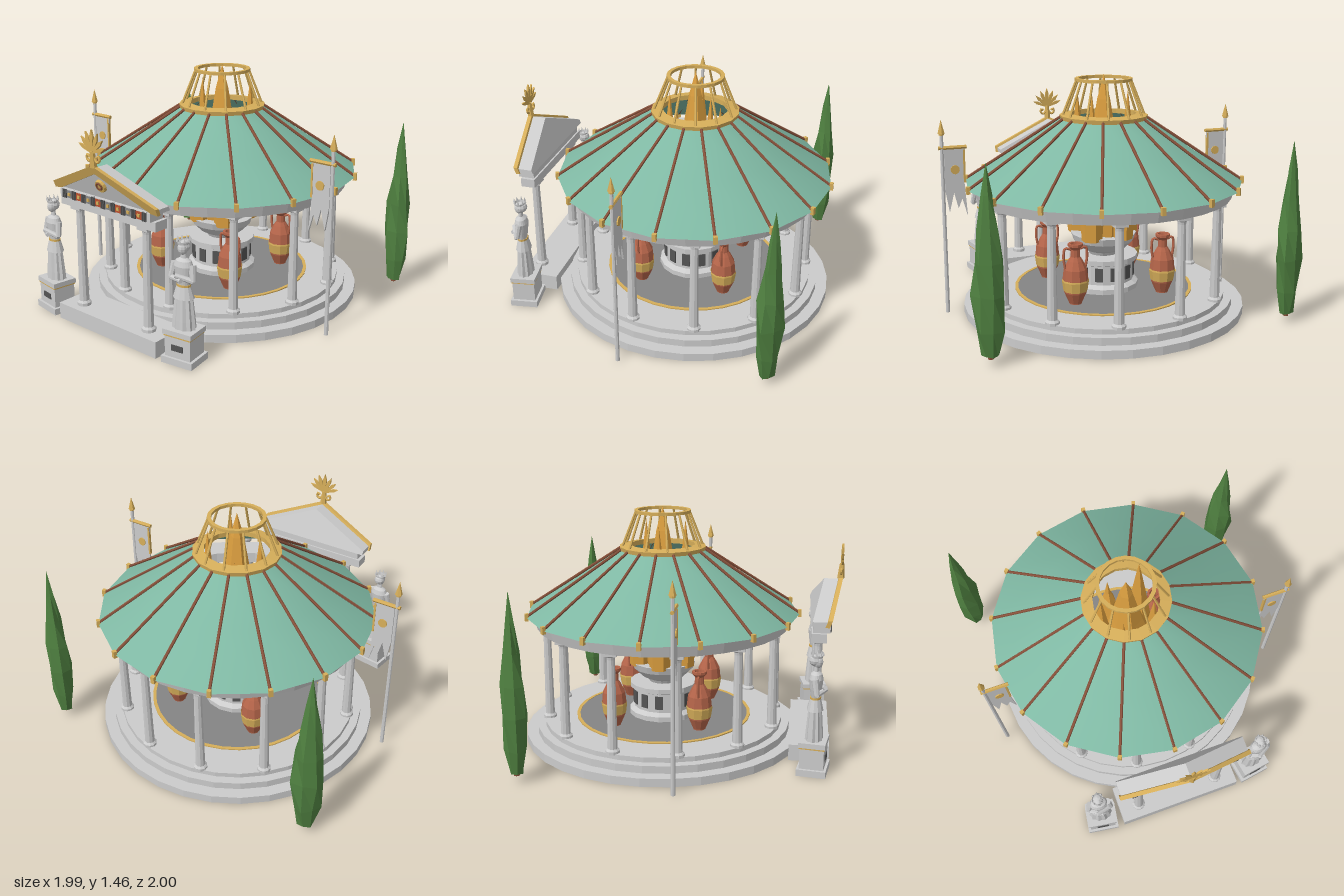
import * as THREE from 'three';

const mat = (color, flatShading = true, side = THREE.DoubleSide) =>
  new THREE.MeshStandardMaterial({ color, flatShading, side });
const STONE = mat(0xcccccc), DARK = mat(0x555555), FLOOR = mat(0x858585), GOLD = mat(0xd6ae5a);
const ROOF = mat(0x7fb8a3, false), COPPER = mat(0x85503a), CLAY = mat(0xb5654a), LEAF = mat(0x4f8040);
const FLAME = mat(0xdda040), RED = mat(0xb8502f);
const CZ = -0.12; // rotunda centre

function add(parent, name, geo, m, x = 0, y = 0, z = 0) {
  const mesh = new THREE.Mesh(geo, m);
  mesh.name = name;
  mesh.position.set(x, y, z);
  parent.add(mesh);
  return mesh;
}
function group(parent, name, x = 0, y = 0, z = 0) {
  const g = new THREE.Group();
  g.name = name;
  g.position.set(x, y, z);
  parent.add(g);
  return g;
}
const box = (w, h, d) => new THREE.BoxGeometry(w, h, d);
const lathe = (pts, n) => new THREE.LatheGeometry(pts.map(p => new THREE.Vector2(p[0], p[1])), n);
const V = (x, y, z) => new THREE.Vector3(x, y, z);
// straight bar between two points
function bar(parent, name, a, b, r0, r1, m, sides = 6) {
  const d = b.clone().sub(a);
  const mesh = add(parent, name, new THREE.CylinderGeometry(r1, r0, d.length(), sides), m);
  mesh.position.copy(a).addScaledVector(d, 0.5);
  mesh.quaternion.setFromUnitVectors(V(0, 1, 0), d.normalize());
  return mesh;
}
function tube(parent, name, pts, r, m) {
  const curve = new THREE.CatmullRomCurve3(pts);
  return add(parent, name, new THREE.TubeGeometry(curve, 12, r, 6), m);
}
const shapeOf = pts => new THREE.Shape(pts.map(p => new THREE.Vector2(p[0], p[1])));
const extrude = (pts, depth) => new THREE.ExtrudeGeometry(shapeOf(pts), { depth, bevelEnabled: false });

function column(parent, x, z, y0, y1) {
  const c = group(parent, 'column', x, 0, z);
  add(c, 'columnShaft', lathe([[0, y0], [0.042, y0], [0.042, y0 + 0.018], [0.03, y0 + 0.03], [0.024, y1 - 0.045],
    [0.026, y1 - 0.03], [0.037, y1 - 0.018], [0, y1 - 0.018]], 10), STONE);
  add(c, 'columnCapital', box(0.078, 0.02, 0.078), STONE, 0, y1 - 0.01, 0);
}

function vase(parent, x, z) {
  const v = group(parent, 'vase', x, 0.12, z);
  add(v, 'vaseBody', lathe([[0, 0], [0.038, 0], [0.04, 0.015], [0.068, 0.08], [0.077, 0.16], [0.07, 0.225], [0.045, 0.275],
    [0.029, 0.3], [0.028, 0.345], [0.045, 0.365], [0.045, 0.38], [0.03, 0.38], [0.022, 0.33]], 10), CLAY);
  add(v, 'vaseBand', lathe([[0.072, 0.09], [0.081, 0.15], [0.079, 0.16]], 10), GOLD);
  for (const s of [-1, 1])
    tube(v, 'vaseHandle', [V(s * 0.03, 0.345, 0), V(s * 0.064, 0.355, 0), V(s * 0.074, 0.3, 0), V(s * 0.064, 0.23, 0)], 0.008, CLAY);
}

function statue(parent, s) {
  const g = group(parent, 'statue', s * 0.53, 0, 0.84);
  g.rotation.y = s * 0.15;
  add(g, 'pedestalFoot', box(0.2, 0.04, 0.17), STONE, 0, 0.02, 0);
  add(g, 'pedestalBlock', box(0.165, 0.13, 0.14), STONE, 0, 0.105, 0);
  add(g, 'pedestalTrim', box(0.172, 0.01, 0.147), GOLD, 0, 0.166, 0);
  add(g, 'pedestalCap', box(0.185, 0.03, 0.155), STONE, 0, 0.186, 0);
  add(g, 'plaque', box(0.075, 0.035, 0.008), DARK, 0, 0.1, 0.071);
  // robe with pleats made by pushing alternate vertices
  const robe = lathe([[0, 0.2], [0.07, 0.2], [0.066, 0.25], [0.052, 0.38], [0.038, 0.455], [0.05, 0.51], [0.058, 0.565], [0.046, 0.595], [0.019, 0.61], [0.017, 0.64]], 20);
  const p = robe.attributes.position;
  for (let i = 0; i < p.count; i++) {
    const a = Math.atan2(p.getZ(i), p.getX(i));
    const k = p.getY(i) < 0.4 ? 1 + 0.07 * Math.cos(a * 10) : 1;
    p.setXYZ(i, p.getX(i) * k, p.getY(i), p.getZ(i) * k * 0.7);
  }
  robe.computeVertexNormals();
  add(g, 'robe', robe, STONE);
  add(g, 'peplum', new THREE.CylinderGeometry(0.042, 0.064, 0.07, 12), STONE, 0, 0.415, 0).scale.z = 0.75;
  add(g, 'belt', new THREE.CylinderGeometry(0.043, 0.043, 0.012, 12), GOLD, 0, 0.453, 0).scale.z = 0.75;
  add(g, 'head', new THREE.SphereGeometry(0.031, 10, 8), STONE, 0, 0.665, 0.005).scale.set(0.9, 1.2, 1);
  add(g, 'hair', new THREE.SphereGeometry(0.034, 10, 6), STONE, 0, 0.673, -0.01);
  for (const t of [-1, 1]) {
    bar(g, 'upperArm', V(t * 0.056, 0.575, 0), V(t * 0.07, 0.49, 0.015), 0.021, 0.017, STONE, 8);
    bar(g, 'forearm', V(t * 0.07, 0.49, 0.015), V(-t * 0.02, 0.51 + t * 0.012, 0.057), 0.017, 0.013, STONE, 8);
  }
  add(g, 'crownBand', new THREE.CylinderGeometry(0.035, 0.032, 0.016, 10, 1, true), STONE, 0, 0.697, 0);
  for (let i = 0; i < 8; i++) {
    const a = i * Math.PI / 4;
    add(g, 'crownPoint', new THREE.ConeGeometry(0.008, 0.026, 4), STONE, Math.sin(a) * 0.034, 0.717, Math.cos(a) * 0.034);
  }
}

function banner(parent, s) {
  const g = group(parent, 'banner', s * 0.96, 0, 0.08);
  bar(g, 'pole', V(0, 0, 0), V(0, 1.13, 0), 0.013, 0.011, STONE, 8);
  add(g, 'spearSocket', new THREE.CylinderGeometry(0.016, 0.016, 0.015, 8), GOLD, 0, 1.12, 0);
  add(g, 'spearHead', new THREE.ConeGeometry(0.022, 0.085, 6), GOLD, 0, 1.165, 0);
  bar(g, 'crossBar', V(s * 0.02, 1.035, 0), V(-s * 0.15, 1.035, 0), 0.012, 0.012, GOLD);
  const cloth = [[-0.012, 1.03], [-0.14, 1.03], [-0.13, 0.82], [-0.145, 0.61], [-0.115, 0.72], [-0.09, 0.66], [-0.065, 0.76], [-0.035, 0.64], [-0.012, 0.78]];
  add(g, 'bannerCloth', extrude(cloth.map(q => [s * q[0], q[1]]), 0.012), STONE, 0, 0, -0.006);
  add(g, 'bannerTrim', box(0.012, 0.2, 0.018), GOLD, -s * 0.132, 0.92, 0);
  const disc = add(g, 'bannerDisc', new THREE.CylinderGeometry(0.028, 0.028, 0.026, 10), GOLD, -s * 0.075, 0.9, 0);
  disc.rotation.x = Math.PI / 2;
}

function cypress(parent, x, z, turn) {
  const g = group(parent, 'cypress', x, 0, z);
  g.rotation.y = turn;
  add(g, 'trunk', new THREE.CylinderGeometry(0.014, 0.018, 0.08, 6), COPPER, 0, 0.08, 0);
  const geo = lathe([[0, 0.05], [0.048, 0.06], [0.075, 0.2], [0.09, 0.4], [0.08, 0.58], [0.055, 0.76], [0.03, 0.94], [0, 1.11]], 7);
  const p = geo.attributes.position;
  for (let i = 0; i < p.count; i++) {
    const a = Math.atan2(p.getZ(i), p.getX(i)), y = p.getY(i);
    const k = 1 + 0.14 * Math.sin(a * 3 + y * 21);
    p.setXYZ(i, p.getX(i) * k, y, p.getZ(i) * k * 0.8);
  }
  add(g, 'foliage', geo, LEAF);
}

function portico(parent) {
  const g = group(parent, 'portico');
  add(g, 'porticoPlatform', box(0.8, 0.1, 0.24), STONE, 0, 0.05, 0.815);
  for (const s of [-1, 1]) column(g, s * 0.27, 0.85, 0.1, 0.73);
  add(g, 'architrave', box(0.76, 0.055, 0.09), STONE, 0, 0.757, 0.85);
  add(g, 'frieze', box(0.72, 0.05, 0.1), STONE, 0, 0.81, 0.865);
  for (let i = 0; i < 9; i++) {
    const x = (i - 4) * 0.08;
    for (const d of [-0.012, 0, 0.012]) add(g, 'triglyph', box(0.008, 0.05, 0.02), DARK, x + d, 0.81, 0.912);
    if (i < 8) {
      add(g, 'metope', box(0.045, 0.044, 0.012), i % 2 ? RED : FLOOR, x + 0.04, 0.81, 0.912);
      add(g, 'metopeStud', box(0.018, 0.018, 0.012), GOLD, x + 0.04, 0.81, 0.918);
    }
  }
  // pediment leans forward as it rises
  const lean = geo => geo.applyMatrix4(new THREE.Matrix4().set(1, 0, 0, 0, 0, 1, 0, 0, 0, 0.38, 1, 0, 0, 0, 0, 1));
  const ped = group(g, 'pediment', 0, 0.835, 0.8);
  add(ped, 'gable', lean(extrude([[-0.4, 0], [0.4, 0], [0.4, 0.025], [0, 0.2], [-0.4, 0.025]], 0.09)), STONE);
  add(ped, 'rakingCornice', lean(extrude([[-0.41, -0.005], [-0.36, 0], [0, 0.165], [0.36, 0], [0.41, -0.005], [0.41, 0.035], [0, 0.215], [-0.41, 0.035]], 0.025)), GOLD, 0, 0, 0.085);
  const ros = add(ped, 'rosette', new THREE.CylinderGeometry(0.036, 0.042, 0.02, 12), GOLD, 0, 0.085, 0.128);
  ros.rotation.x = Math.PI / 2 + 0.36;
  const hub = add(ped, 'rosetteHub', new THREE.TorusGeometry(0.02, 0.006, 6, 12), COPPER, 0, 0.085, 0.14);
  hub.rotation.x = 0.36;
  // palmette on the apex
  const top = group(g, 'palmette', 0, 1.04, 0.975);
  bar(top, 'palmetteStem', V(0, 0, 0), V(0, 0.09, 0.005), 0.022, 0.014, GOLD);
  for (const s of [-1, 1])
    tube(top, 'scroll', [V(0, 0.07, 0), V(s * 0.03, 0.03, 0), V(s * 0.05, 0.045, 0), V(s * 0.042, 0.068, 0), V(s * 0.03, 0.055, 0)], 0.008, GOLD);
  for (let i = -3; i <= 3; i++) {
    const leaf = add(top, 'palmetteLeaf', extrude([[-0.006, 0], [0.006, 0], [0.013, 0.09], [0, 0.13], [-0.013, 0.09]], 0.012), GOLD, 0, 0.082, 0);
    leaf.rotation.z = -i * 0.4;
    leaf.scale.setScalar(1 - Math.abs(i) * 0.05);
  }
}

function rotunda(parent) {
  const g = group(parent, 'rotunda', 0, 0, CZ);
  add(g, 'steps', lathe([[0, 0], [0.88, 0], [0.88, 0.05], [0.81, 0.05], [0.81, 0.095], [0.76, 0.095], [0.76, 0.125], [0, 0.125]], 32), STONE);
  add(g, 'innerFloor', new THREE.CylinderGeometry(0.54, 0.54, 0.006, 32), FLOOR, 0, 0.126, 0);
  add(g, 'floorRing', lathe([[0.54, 0.12], [0.54, 0.132], [0.56, 0.132], [0.56, 0.12]], 32), GOLD);
  for (let i = 0; i < 12; i++) {
    const a = (i + 0.5) * Math.PI / 6;
    column(g, Math.sin(a) * 0.73, Math.cos(a) * 0.73, 0.12, 0.73);
  }
  add(g, 'entablature', lathe([[0.66, 0.73], [0.79, 0.73], [0.81, 0.8], [0.66, 0.8], [0.66, 0.73]], 32), STONE);
  add(g, 'roof', lathe([[0.855, 0.805], [0.55, 1.0], [0.25, 1.2]], 16), ROOF);
  for (let i = 0; i < 16; i++) {
    const a = i * Math.PI / 8, at = (r, y) => V(Math.sin(a) * r, y, Math.cos(a) * r);
    bar(g, 'roofRib', at(0.855, 0.812), at(0.255, 1.205), 0.009, 0.009, COPPER);
    const clip = add(g, 'ribClip', box(0.024, 0.045, 0.022), GOLD);
    clip.position.copy(at(0.855, 0.81));
    clip.rotation.y = a;
  }
  // open lantern
  add(g, 'lanternRing', lathe([[0.2, 1.195], [0.265, 1.19], [0.27, 1.215], [0.2, 1.225], [0.2, 1.195]], 16), GOLD);
  for (let i = 0; i < 12; i++) {
    const a = (i + 0.5) * Math.PI / 6;
    bar(g, 'lanternStrut', V(Math.sin(a) * 0.25, 1.215, Math.cos(a) * 0.25), V(Math.sin(a) * 0.165, 1.43, Math.cos(a) * 0.165), 0.008, 0.007, GOLD);
  }
  add(g, 'lanternCrown', lathe([[0.152, 1.42], [0.175, 1.42], [0.175, 1.438], [0.152, 1.438], [0.152, 1.42]], 20), GOLD);
  // altar, bowl and fire
  add(g, 'altar', lathe([[0, 0.12], [0.22, 0.12], [0.22, 0.16], [0.19, 0.18], [0.19, 0.3], [0.215, 0.31], [0.215, 0.34], [0, 0.34]], 16), STONE);
  for (let i = 0; i < 12; i++) {
    const a = i * Math.PI / 6;
    add(g, 'altarNiche', box(0.05, 0.085, 0.012), DARK, Math.sin(a) * 0.188, 0.245, Math.cos(a) * 0.188).rotation.y = a;
  }
  add(g, 'fireBowl', lathe([[0.09, 0.34], [0.1, 0.36], [0.14, 0.38], [0.19, 0.43], [0.205, 0.475], [0.18, 0.475], [0, 0.46]], 16), STONE);
  const flame = (x, z, r, h) => add(g, 'flame', lathe([[0, 0.45], [r * 0.85, 0.46], [r, 0.65], [r * 0.62, 0.95], [r * 0.25, h - 0.15], [0, h]], 6), FLAME, x, 0, z);
  flame(0, 0, 0.16, 1.46);
  for (const [x, z] of [[-0.16, 0], [0.125, 0.125], [0.125, -0.125], [-0.07, 0.14], [-0.07, -0.14]]) flame(x, z, 0.075, x === -0.07 ? 1.22 : 1.36);
  for (const sx of [-1, 1]) for (const sz of [-1, 1]) vase(g, sx * 0.285, sz * 0.265);
}

export function createModel() {
  const root = new THREE.Group();
  root.name = 'templePavilion';
  rotunda(root);
  portico(root);
  for (const s of [-1, 1]) {
    statue(root, s);
    banner(root, s);
  }
  cypress(root, -0.905, -0.82, 0.6);
  cypress(root, 0.915, -0.79, -0.5);
  return root;
}
